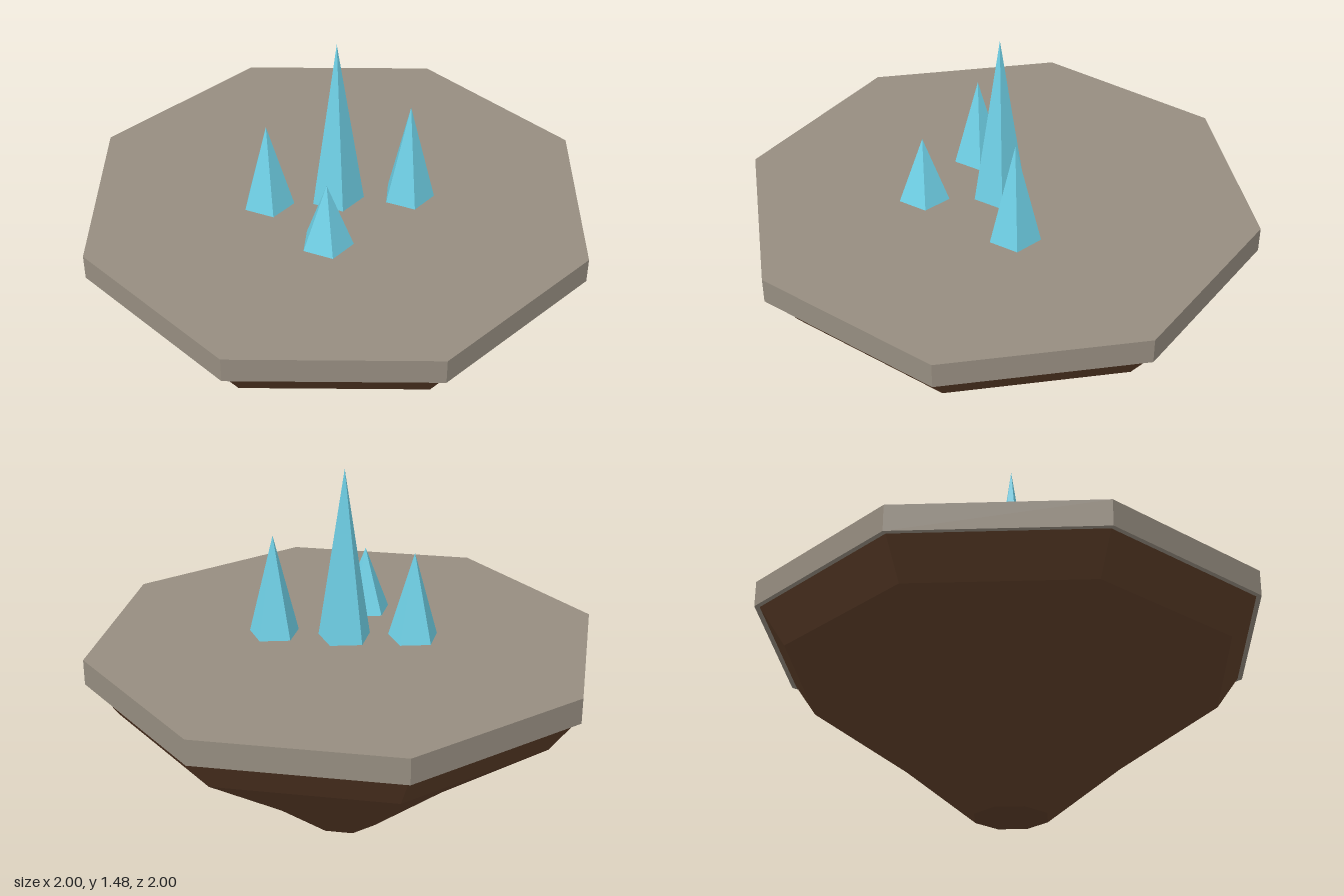
import * as THREE from 'three';

const material = (color) => new THREE.MeshStandardMaterial({ color, flatShading: true });

export function createModel() {
  const model = new THREE.Group();
  model.name = 'floatingIsland';
  const stone = material(0x968d80);
  const earth = material(0x5c3d28);
  const ice = material(0x6fd0e6);

  const add = (name, geometry, mat, x, y, z) => {
    const mesh = new THREE.Mesh(geometry, mat);
    mesh.name = name;
    mesh.position.set(x, y, z);
    model.add(mesh);
    return mesh;
  };

  // Octagonal stone slab on top
  add('stoneSlab', new THREE.CylinderGeometry(1, 1, 0.1, 8), stone, 0, 0.75, 0);

  // Tapering earth underside, closed at both ends
  const profile = [[0, 0], [0.145, 0], [0.445, 0.245], [0.88, 0.56], [0.98, 0.7], [0, 0.7]]
    .map(([r, y]) => new THREE.Vector2(r, y));
  add('earthUnderside', new THREE.LatheGeometry(profile, 8), earth, 0, 0, 0);

  // Five-sided crystals: x, z, radius, height
  const crystals = new THREE.Group();
  crystals.name = 'crystals';
  model.add(crystals);
  [
    [0, 0, 0.105, 0.675],
    [-0.225, 0.14, 0.1, 0.345],
    [0.25, -0.115, 0.1, 0.4],
    [0.08, 0.28, 0.1, 0.26],
  ].forEach(([x, z, r, h], i) => {
    const crystal = add(`crystal${i + 1}`, new THREE.ConeGeometry(r, h, 5), ice, x, 0.8 + h / 2, z);
    crystal.rotation.y = Math.PI; // a corner points to the back
    crystals.add(crystal);
  });

  return model;
}
